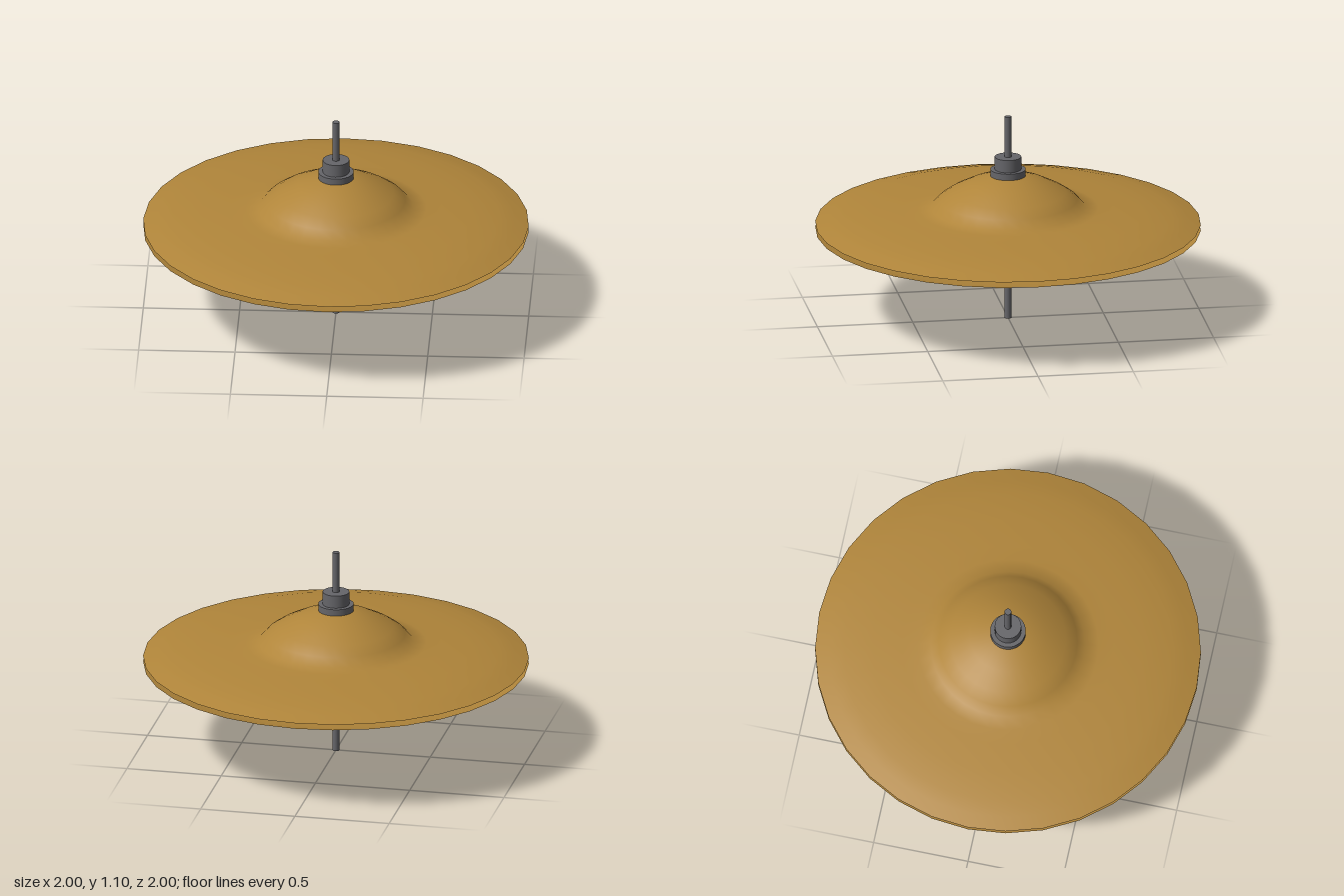
import * as THREE from 'three';

const SEGMENTS = 32;
const MID_Y = 0.5; // height of the gap between the two cymbals

// Cymbal half-profile from rim to crown: [radius, height above the gap centre]
const PROFILE = [
  [1, 0.015], [0.93, 0.035], [0.85, 0.055], [0.7, 0.075], [0.55, 0.087], [0.47, 0.094],
  [0.4, 0.103], [0.36, 0.146], [0.3, 0.187], [0.2, 0.238], [0.09, 0.276], [0, 0.276],
];

export function createModel() {
  const model = new THREE.Group();
  model.name = 'hiHat';
  const brass = new THREE.MeshStandardMaterial({ color: 0xb0853a, side: THREE.DoubleSide });
  const steel = new THREE.MeshStandardMaterial({ color: 0x66666a });

  // Thin bowed disc with a raised bell; direction 1 domes up, -1 domes down
  function addCymbal(name, direction) {
    const points = PROFILE.map(([r, h]) => new THREE.Vector2(r, MID_Y + direction * h));
    if (direction < 0) points.reverse(); // keeps the outside facing outwards
    const mesh = new THREE.Mesh(new THREE.LatheGeometry(points, SEGMENTS), brass);
    mesh.name = name;
    model.add(mesh);
  }

  // Upright cylinder between two heights
  function addCylinder(name, radius, bottom, top, sides) {
    const geometry = new THREE.CylinderGeometry(radius, radius, top - bottom, sides);
    const mesh = new THREE.Mesh(geometry, steel);
    mesh.position.y = (bottom + top) / 2;
    mesh.name = name;
    model.add(mesh);
  }

  addCymbal('topCymbal', 1);
  addCymbal('bottomCymbal', -1);

  // Pull rod and the clutch that holds the top cymbal
  addCylinder('rod', 0.018, 0, 1.095, 16);
  addCylinder('clutchWasher', 0.092, 0.774, 0.81, SEGMENTS);
  addCylinder('clutchNut', 0.069, 0.81, 0.877, SEGMENTS);

  return model;
}
